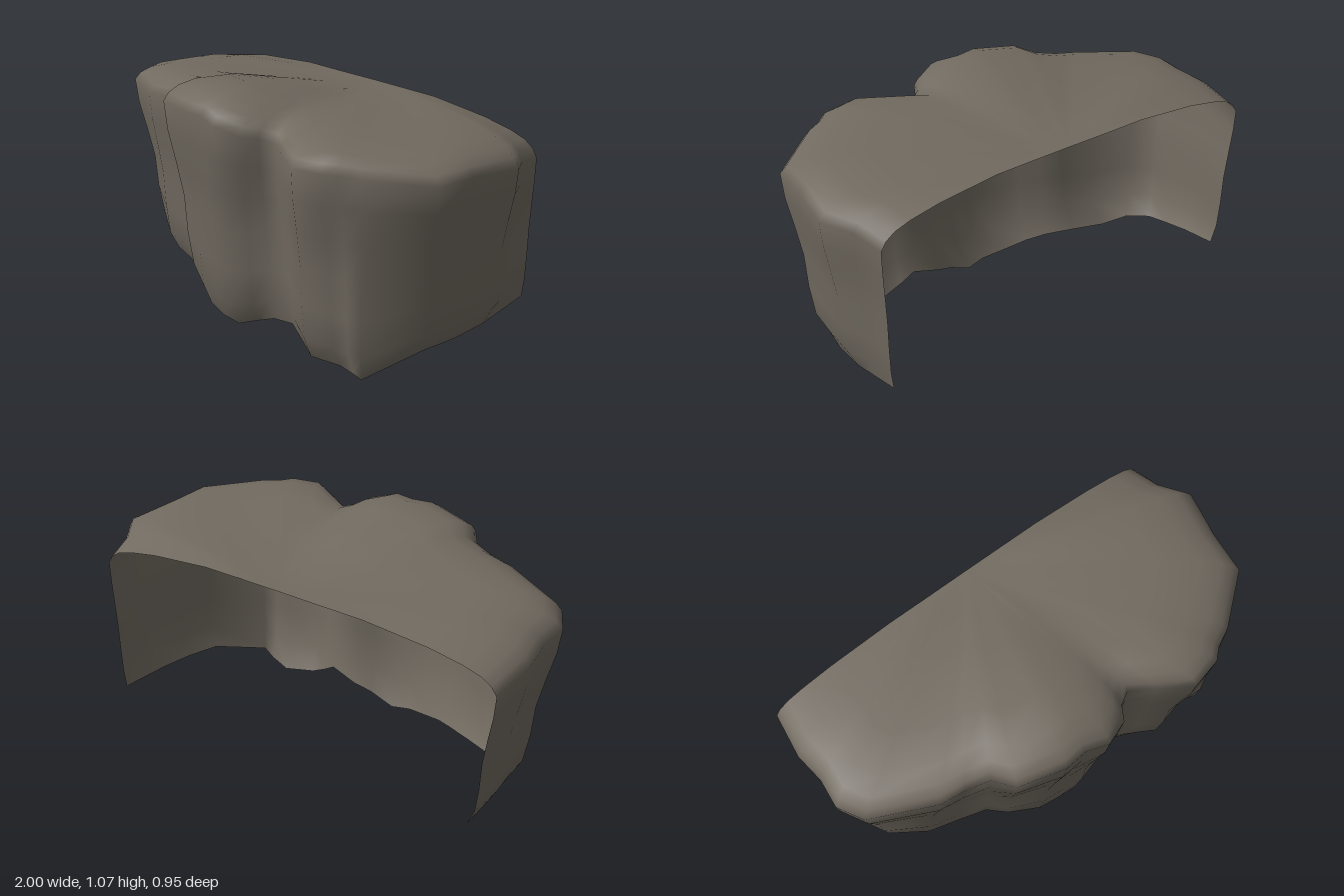
import * as THREE from 'three';

// Widest outline from the -x back corner round the front to the +x back corner: x, z, top height
const RIM = [
  [-0.97, -0.48, 0.91], [-1.0, -0.27, 0.94], [-0.985, -0.13, 0.955], [-1.0, 0.0, 0.96], [-0.94, 0.115, 0.97],
  [-0.67, 0.25, 0.99], [-0.56, 0.268, 1.005], [-0.46, 0.3, 1.025], [-0.4, 0.39, 1.045], [-0.2, 0.45, 1.06],
  [-0.1, 0.44, 1.055], [0.0, 0.47, 1.045], [0.11, 0.425, 1.015], [0.15, 0.36, 1.0], [0.21, 0.325, 0.985],
  [0.31, 0.39, 0.985], [0.45, 0.475, 0.985], [0.58, 0.445, 0.985], [0.63, 0.4, 0.98], [0.71, 0.36, 0.975],
  [0.93, 0.18, 0.955], [0.95, 0.0, 0.955], [1.0, -0.22, 0.945], [0.93, -0.34, 0.925], [0.9, -0.48, 0.9],
];

// Ragged lower edge, one point below each outline point: x, z, height
const HEM = [
  [-0.88, -0.48, 0.2], [-0.88, -0.32, 0.19], [-0.87, -0.2, 0.18], [-0.86, -0.1, 0.17], [-0.81, 0.0, 0.145],
  [-0.72, 0.07, 0.1], [-0.57, 0.12, 0.103], [-0.44, 0.16, 0.105], [-0.36, 0.21, 0.078], [-0.26, 0.27, 0.03],
  [-0.16, 0.29, 0.015], [-0.07, 0.28, 0.0], [0.04, 0.27, 0.05], [0.12, 0.25, 0.08], [0.25, 0.27, 0.11],
  [0.31, 0.28, 0.07], [0.39, 0.3, 0.02], [0.52, 0.26, 0.01], [0.62, 0.29, 0.022], [0.69, 0.32, 0.035],
  [0.81, 0.09, 0.125], [0.85, -0.06, 0.14], [0.87, -0.22, 0.158], [0.87, -0.34, 0.175], [0.87, -0.48, 0.195],
];

// Domed cap and rounded shoulder rows: shrink toward the back centre, lift above the top
const CAP = [[1, 0], [0.8, 0], [0.6, 0.015], [0.3, 0.025], [0.15, 0.01], [0.07, -0.012], [0.025, -0.04]];
// Wall rows: fraction of the way down, fraction of the way in to the hem
const WALL = [[0, 0], [0.15, 0.08], [0.32, 0.27], [0.5, 0.45], [0.7, 0.52], [0.88, 0.66], [1, 1]];
const BACK = -0.48, CENTRE_Y = 0.967, SHOULDER = 0.075;

function column(rim, hem) {
  const { lerp, smoothstep } = THREE.MathUtils;
  const [x, z, top] = rim;
  const cap = CAP.map(([k, lift]) => [
    x * (1 - k),
    lerp(top, CENTRE_Y, smoothstep(k, 0.1, 0.85)) + lift,
    BACK + (z - BACK) * (1 - k),
  ]);
  const wall = WALL.map(([down, inward]) => [
    lerp(x, hem[0], inward),
    lerp(top - SHOULDER, hem[2], down),
    lerp(z, hem[1], inward),
  ]);
  return [...cap, ...wall];
}

// Smooth open shell, with no back and no underside
function shellGeometry() {
  const rows = CAP.length + WALL.length;
  const positions = RIM.flatMap((rim, i) => column(rim, HEM[i]).flat());
  const index = [];
  for (let c = 0; c < RIM.length - 1; c++) {
    for (let r = 0; r < rows - 1; r++) {
      const a = c * rows + r, b = a + 1, d = a + rows, e = d + 1;
      if (r > 0) index.push(a, b, d); // the first row meets in one point
      index.push(b, e, d);
    }
  }
  const geometry = new THREE.BufferGeometry();
  geometry.setAttribute('position', new THREE.Float32BufferAttribute(positions, 3));
  geometry.setIndex(index);
  geometry.computeVertexNormals();
  return geometry;
}

export function createModel() {
  const stone = new THREE.MeshStandardMaterial({ color: 0x716a60, side: THREE.DoubleSide });
  stone.name = 'brown grey stone';
  const ledge = new THREE.Mesh(shellGeometry(), stone);
  ledge.name = 'rockLedge';
  const model = new THREE.Group();
  model.name = 'rock';
  model.add(ledge);
  return model;
}
